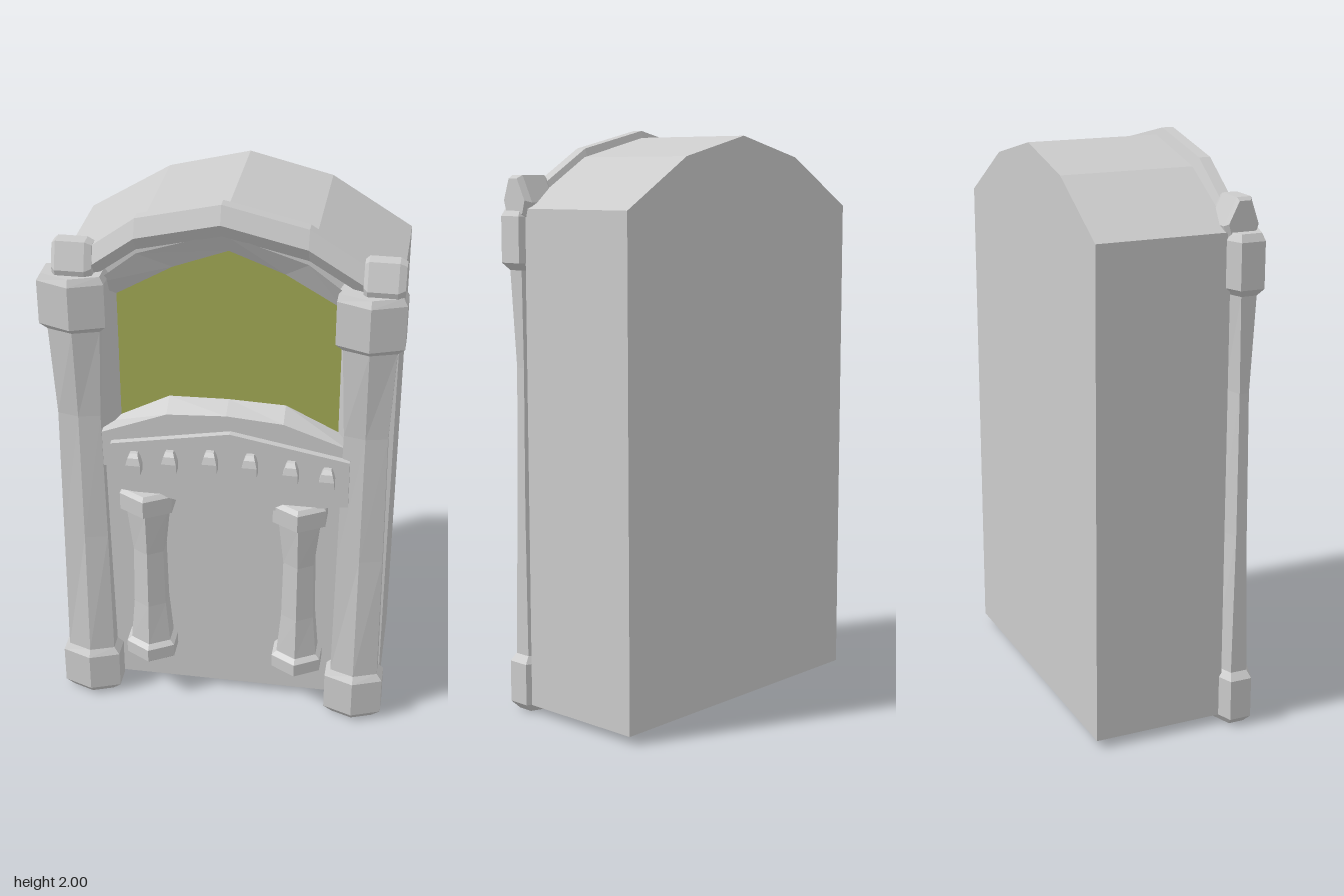
import * as THREE from 'three';

const grey = new THREE.MeshStandardMaterial({ color: 0xcccccc, flatShading: true });
const greyThin = new THREE.MeshStandardMaterial({ color: 0xcccccc, flatShading: true, side: THREE.DoubleSide });
const olive = new THREE.MeshStandardMaterial({ color: 0xa3ab55, flatShading: true, side: THREE.DoubleSide });

// Skin a row of equal-sized rings, with closed ends
function loft(rings, caps = true) {
  const pos = [];
  const tri = (a, b, c) => pos.push(...a, ...b, ...c);
  const n = rings[0].length;
  for (let i = 0; i < rings.length - 1; i++) {
    for (let j = 0; j < n; j++) {
      const k = (j + 1) % n;
      const [a, b, c, d] = [rings[i][j], rings[i][k], rings[i + 1][k], rings[i + 1][j]];
      tri(a, b, c);
      tri(a, c, d);
    }
  }
  if (caps) {
    const s = rings[0], e = rings[rings.length - 1];
    for (let j = 1; j < n - 1; j++) {
      tri(s[0], s[j + 1], s[j]);
      tri(e[0], e[j], e[j + 1]);
    }
  }
  const g = new THREE.BufferGeometry();
  g.setAttribute('position', new THREE.Float32BufferAttribute(pos, 3));
  g.computeVertexNormals();
  return g;
}

// Hexagonal column with an edge facing front; levels are [y, half width, half depth]
const column = (levels) => loft(levels.map(([y, hx, hz]) =>
  Array.from({ length: 6 }, (_, j) => {
    const t = (j * Math.PI) / 3;
    return [(Math.sin(t) * hx) / 0.866, y, Math.cos(t) * hz];
  })));

const shapeOf = (pts) => new THREE.Shape(pts.map(([x, y]) => new THREE.Vector2(x, y)));

// Flat outline given thickness between two z positions
function slab(pts, z0, z1) {
  const g = new THREE.ExtrudeGeometry(shapeOf(pts), { depth: z1 - z0, bevelEnabled: false });
  return g.translate(0, 0, z0);
}

export function createModel() {
  const model = new THREE.Group();
  const add = (name, geometry, material = grey, x = 0, y = 0, z = 0) => {
    const mesh = new THREE.Mesh(geometry, material);
    mesh.name = name;
    mesh.position.set(x, y, z);
    model.add(mesh);
    return mesh;
  };

  // Main block with faceted arched roof
  add('body', slab([[-0.545, 0.03], [0.577, 0.03], [0.577, 1.735], [0.3, 1.905],
    [0.015, 1.975], [-0.265, 1.905], [-0.545, 1.735]], -0.305, 0.165));

  // Coloured window panel and its sloped surround
  const pane = [[-0.36, 1.15], [-0.36, 1.64], [-0.17, 1.75], [0.015, 1.82], [0.2, 1.75], [0.39, 1.64], [0.39, 1.15]];
  const opening = [[-0.43, 1.1], [-0.43, 1.69], [-0.28, 1.81], [0, 1.9], [0.28, 1.81], [0.44, 1.69], [0.44, 1.1]];
  add('windowPanel', new THREE.ShapeGeometry(shapeOf(pane)), olive, 0, 0, 0.17);
  add('windowSurround', loft([opening.map(([x, y]) => [x, y, 0.215]),
    pane.map(([x, y]) => [x, y, 0.17])], false), greyThin);

  // Arch moulding: cross-section points are [drop from top, z]
  const section = [[0, 0.182], [0, 0.222], [-0.06, 0.247], [-0.112, 0.212], [-0.112, 0.165], [-0.06, 0.163]];
  const archPath = [[-0.48, 1.79], [-0.28, 1.935], [0, 2], [0.28, 1.935], [0.5, 1.8]];
  add('archMoulding', loft(archPath.map(([x, y]) => section.map(([d, z]) => [x, y + d, z]))));

  // Chunky blocks ending the arch; the outer end leans in towards the top
  const knobSection = [[0.055, 0.185], [0.055, 0.235], [-0.035, 0.266], [-0.09, 0.25], [-0.09, 0.155], [-0.035, 0.14]];
  const knobEnds = [[-0.065, 0.02, 0.8], [-0.052, 0, 1], [0.045, 0, 1], [0.068, 0, 0.8]];
  for (const [name, x] of [['rightArchEnd', -0.488], ['leftArchEnd', 0.522]]) {
    add(name, loft(knobEnds.map(([dx, , s]) =>
      knobSection.map(([y, z]) => [dx, y * s, (z - 0.203) * s]))), grey, x, 1.79, 0.203);
  }

  // Tall outer pillars
  const pillar = column([
    [0, 0.075, 0.055], [0.03, 0.105, 0.078], [0.175, 0.105, 0.078], [0.2, 0.085, 0.06],
    [0.7, 0.08, 0.04], [1.2, 0.074, 0.034], [1.53, 0.088, 0.056],
    [1.555, 0.112, 0.085], [1.71, 0.112, 0.085], [1.735, 0.098, 0.072],
  ]);
  add('rightPillar', pillar, grey, -0.493, 0, 0.215);
  add('leftPillar', pillar, grey, 0.488, 0, 0.215);

  // Short inner columns
  const post = column([
    [0.178, 0.075, 0.085], [0.19, 0.088, 0.1], [0.24, 0.088, 0.1], [0.255, 0.072, 0.08],
    [0.42, 0.058, 0.068], [0.65, 0.054, 0.064], [0.82, 0.072, 0.075],
    [0.835, 0.092, 0.105], [0.9, 0.092, 0.105], [0.915, 0.08, 0.09],
  ]);
  add('rightColumn', post, grey, -0.268, 0, 0.195);
  add('leftColumn', post, grey, 0.273, 0, 0.195);

  // Sill ledge below the window: front edge rises to a higher back edge
  const sill = [[-0.43, 1.13, 1.14], [-0.19, 1.225, 1.265], [0.015, 1.237, 1.27], [0.21, 1.222, 1.263], [0.43, 1.145, 1.155]];
  add('sill', loft(sill.map(([x, front, back]) =>
    [[x, back, 0.17], [x, front, 0.23], [x, 1.0, 0.23], [x, 1.0, 0.16]])));

  // Mantel panel
  add('mantel', slab([[-0.385, 0.925], [-0.18, 0.9], [0.03, 0.856], [0.2, 0.89], [0.44, 0.928],
    [0.44, 1.105], [0.03, 1.18], [-0.385, 1.105]], 0.16, 0.253));

  // Row of tapered studs on the mantel
  const stud = loft([[0, 0.026, 0.038], [0.035, 0.026, 0.038], [0.06, 0.019, 0.03], [0.072, 0.013, 0.016]]
    .map(([y, w, d]) => [[-w, y, -0.01], [-w, y, d], [w, y, d], [w, y, -0.01]]));
  [[-0.3, 1.01], [-0.175, 1.027], [-0.035, 1.04], [0.103, 1.04], [0.243, 1.025], [0.367, 1.01]]
    .forEach(([x, y], i) => add(`stud${i + 1}`, stud, grey, x, y, 0.253));

  return model;
}
